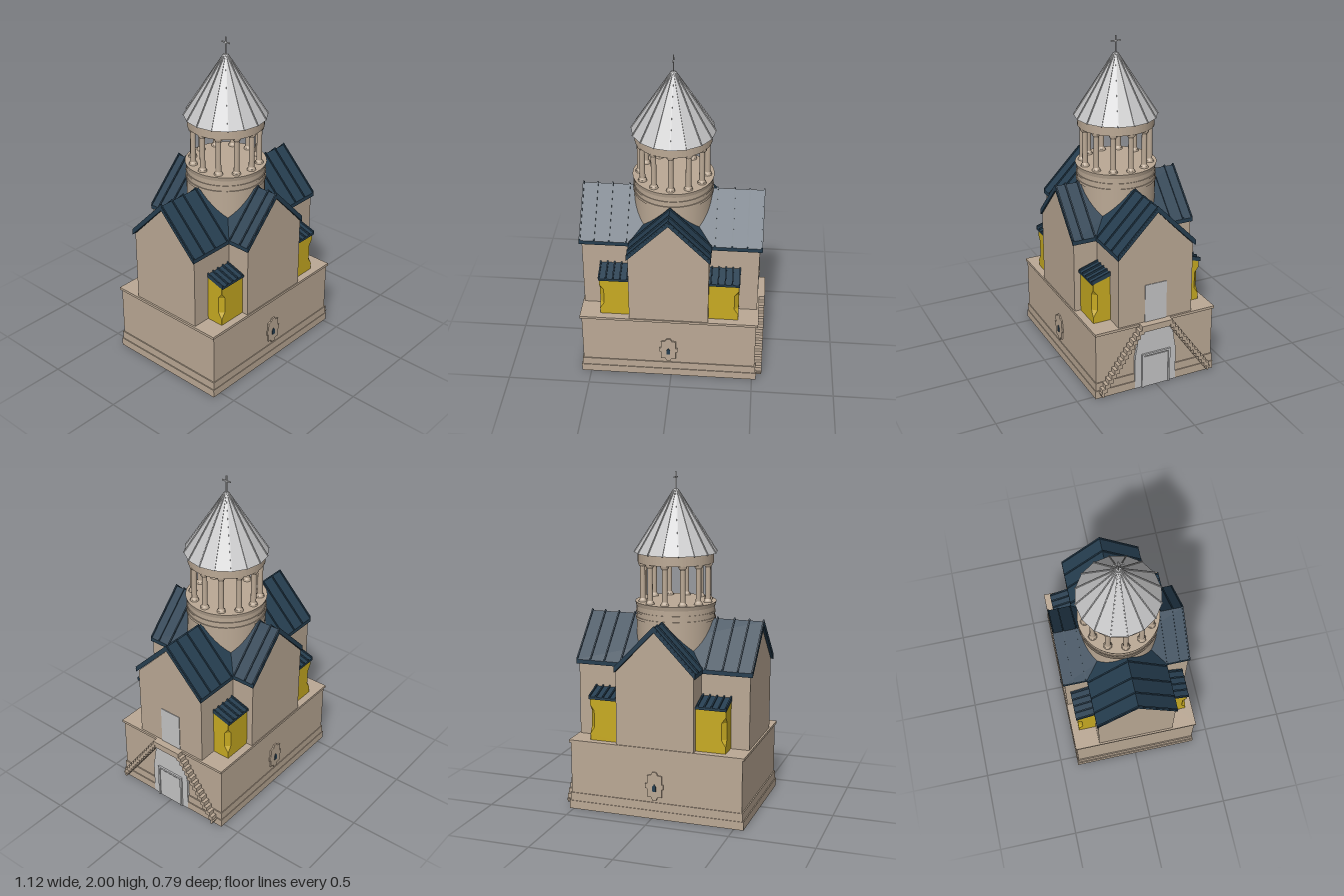
import * as THREE from 'three';

const mat = (name, color, opts = {}) => {
  const m = new THREE.MeshStandardMaterial({ color, ...opts });
  m.name = name;
  return m;
};

export function createModel() {
  const stone = mat('stone', 0xbba995);
  const roofBlue = mat('roofBlue', 0x263e50);
  const yellow = mat('yellow', 0xc8ab22);
  const metal = mat('metal', 0xc4c4c5, { side: THREE.DoubleSide });

  const root = new THREE.Group();
  root.name = 'church';
  const body = new THREE.Group();
  body.name = 'building';
  body.position.x = -0.016;
  root.add(body);

  const add = (name, geo, material, x = 0, y = 0, z = 0) => {
    const m = new THREE.Mesh(geo, material);
    m.name = name;
    m.position.set(x, y, z);
    body.add(m);
    return m;
  };
  const box = (name, material, w, h, d, x, y, z) =>
    add(name, new THREE.BoxGeometry(w, h, d), material, x, y, z);
  const shape = (pts) => new THREE.Shape(pts.map((p) => new THREE.Vector2(p[0], p[1])));
  const extrude = (pts, depth) =>
    new THREE.ExtrudeGeometry(shape(pts), { depth, bevelEnabled: false });
  // Profile in (x, y), running from z0 to z1
  const alongZ = (pts, z0, z1) => extrude(pts, z1 - z0).translate(0, 0, z0);
  // Profile in (z, y), running from x0 to x1
  const alongX = (pts, x0, x1) => extrude(pts, x1 - x0).rotateY(-Math.PI / 2).translate(x1, 0, 0);
  const rect = (a, b) => [[-a, -b], [a, -b], [a, b], [-a, b]];
  const disc = (name, r0, r1, y0, y1, sides = 48, x = 0, z = 0, material = stone) =>
    add(name, new THREE.CylinderGeometry(r1, r0, y1 - y0, sides), material, x, (y0 + y1) / 2, z);

  // Hollow base, open below, with stepped plinth and top ledge
  const ring = (name, a, b, t, y0, y1) => {
    const s = shape(rect(a, b));
    s.holes.push(new THREE.Path(rect(a - t, b - t).map((p) => new THREE.Vector2(p[0], p[1]))));
    const g = new THREE.ExtrudeGeometry(s, { depth: y1 - y0, bevelEnabled: false });
    add(name, g.rotateX(-Math.PI / 2), stone, 0, y0, 0);
  };
  ring('baseWalls', 0.529, 0.384, 0.008, 0, 0.42);
  ring('plinthLower', 0.542, 0.393, 0.018, 0, 0.05);
  ring('plinthUpper', 0.536, 0.389, 0.012, 0.05, 0.1);
  box('baseTop', stone, 1.08, 0.016, 0.782, 0, 0.422, 0);

  // Cross-shaped body with gables
  const gable = [[-0.238, 0.43], [0.238, 0.43], [0.238, 0.87], [0, 1.118], [-0.238, 0.87]];
  add('longArmWalls', alongX(gable, -0.529, 0.529), stone);
  add('crossArmWalls', alongZ(gable, -0.385, 0.385), stone);

  // Folded roofs with raised seams
  const fold = (lift) => [
    [-0.247, 0.865], [-0.247, 0.89 + lift], [0, 1.145 + lift],
    [0.247, 0.89 + lift], [0.247, 0.865], [0, 1.118],
  ];
  add('longRoof', alongX(fold(0), -0.545, 0.545), roofBlue);
  add('crossRoof', alongZ(fold(0), -0.394, 0.394), roofBlue);
  for (const s of [-1, 1]) {
    for (const p of [0.262, 0.365, 0.455, 0.54])
      add('longRoofSeam', alongX(fold(0.011), s * p - 0.004, s * p + 0.004), roofBlue);
    for (const p of [0.252, 0.33, 0.389])
      add('crossRoofSeam', alongZ(fold(0.011), s * p - 0.004, s * p + 0.004), roofBlue);
  }

  // Corner annexes whose outer corner is cut back in the middle
  const annex = (sx, sz) => {
    const [x0, x1, z0, z1] = [0.23, 0.418, 0.23, 0.346];
    const bottom = sx < 0 && sz > 0 ? 0.37 : 0.43;
    const rings = [[bottom, 0.001], [0.47, 0.001], [0.51, 0.026], [0.61, 0.026], [0.645, 0.001], [null, 0.001]];
    const pos = [], idx = [];
    for (const [y, c] of rings)
      for (const [x, z] of [[x0, z0], [x0, z1], [x1 - c, z1], [x1, z1 - c], [x1, z0]])
        pos.push(sx * x, y ?? 0.735 - (z - z0) * 0.39, sz * z);
    const tri = (a, b, c) => idx.push(...(sx * sz > 0 ? [a, b, c] : [a, c, b]));
    for (let r = 0; r < rings.length - 1; r++)
      for (let i = 0; i < 5; i++) {
        const a = r * 5 + i, b = r * 5 + ((i + 1) % 5);
        tri(a, b, b + 5);
        tri(a, b + 5, a + 5);
      }
    for (let i = 1; i < 4; i++) tri(0, i + 1, i);
    let g = new THREE.BufferGeometry();
    g.setAttribute('position', new THREE.Float32BufferAttribute(pos, 3));
    g.setIndex(idx);
    g = g.toNonIndexed();
    g.computeVertexNormals();
    add('annex', g, yellow);

    // Lean-to roof with seams
    const slope = (lift) => [[0.23, 0.72], [0.356, 0.672 + 0.01], [0.356, 0.697 + lift], [0.23, 0.738 + lift]]
      .map(([z, y]) => [sz * z, y]);
    const span = (a, b) => (sx > 0 ? [a, b] : [-b, -a]);
    add('annexRoof', alongX(slope(0), ...span(0.236, 0.422)), roofBlue);
    for (let i = 0; i < 5; i++) {
      const x = 0.25 + i * 0.042;
      add('annexRoofSeam', alongX(slope(0.01), ...span(x - 0.004, x + 0.004)), roofBlue);
    }
  };
  for (const sx of [-1, 1]) for (const sz of [-1, 1]) annex(sx, sz);

  // Drum
  disc('drum', 0.234, 0.234, 0.88, 1.22);
  disc('drumLowerBand', 0.239, 0.239, 1.135, 1.15);
  disc('drumMiddleBand', 0.238, 0.238, 1.175, 1.185);
  disc('drumTopBand', 0.236, 0.242, 1.215, 1.24);

  // Open colonnade
  for (let i = 0; i < 12; i++) {
    const a = (i / 12) * Math.PI * 2, x = 0.2 * Math.sin(a), z = 0.2 * Math.cos(a);
    disc('columnBase', 0.027, 0.024, 1.238, 1.25, 12, x, z);
    disc('columnFoot', 0.023, 0.016, 1.25, 1.262, 12, x, z);
    disc('columnShaft', 0.0165, 0.0155, 1.25, 1.455, 12, x, z);
    disc('columnNeck', 0.0155, 0.023, 1.448, 1.46, 12, x, z);
    disc('columnCapital', 0.025, 0.027, 1.46, 1.474, 12, x, z);
  }
  const lintel = new THREE.Shape().absarc(0, 0, 0.226, 0, Math.PI * 2);
  lintel.holes.push(new THREE.Path().absarc(0, 0, 0.18, 0, Math.PI * 2, true));
  add('lintelRing', new THREE.ExtrudeGeometry(lintel, { depth: 0.063, bevelEnabled: false, curveSegments: 32 })
    .rotateX(-Math.PI / 2), stone, 0, 1.472, 0);

  // Faceted spire with ribs, knob and cross
  const spire = new THREE.CylinderGeometry(0.012, 0.246, 0.365, 16, 1, true).toNonIndexed();
  spire.computeVertexNormals();
  add('spire', spire, metal, 0, 1.7125, 0);
  const tilt = Math.atan2(0.234, 0.365), ribLength = Math.hypot(0.234, 0.365);
  for (let i = 0; i < 16; i++) {
    const g = new THREE.BoxGeometry(0.006, ribLength, 0.01);
    g.rotateX(-tilt).translate(0, 1.7125, 0.129).rotateY((i / 16) * Math.PI * 2);
    add('spireRib', g, metal);
  }
  disc('spireCollar', 0.027, 0.012, 1.872, 1.9, 16, 0, 0, metal);
  box('crossPost', metal, 0.007, 0.11, 0.007, 0, 1.945, 0);
  box('crossBar', metal, 0.007, 0.007, 0.06, 0, 1.968, 0);

  // Framed slit windows on front and back of the base
  const frame = [
    [-0.045, 0.135], [-0.02, 0.135], [-0.012, 0.115], [0.012, 0.115], [0.02, 0.135], [0.045, 0.135],
    [0.045, 0.265], [0.02, 0.27], [0.012, 0.287], [-0.012, 0.287], [-0.02, 0.27], [-0.045, 0.265],
  ];
  const slit = [[-0.011, 0.17], [0.011, 0.17], [0.011, 0.2], [0, 0.215], [-0.011, 0.2]];
  for (const s of [-1, 1]) {
    const plate = (pts, a, b) => alongZ(pts, Math.min(s * a, s * b), Math.max(s * a, s * b));
    add('windowFrame', plate(frame, 0.38, 0.393), stone);
    add('windowSlit', plate(slit, 0.39, 0.397), roofBlue);
    for (const x of [-0.05, 0.05]) box('windowFrameBoss', stone, 0.012, 0.03, 0.012, x, 0.2, s * 0.387);
  }

  // Portal and doors on the stair side
  const portal = [[0.137, 0], [0.137, 0.215], [0.125, 0.28], [0.11, 0.375], [-0.105, 0.375], [-0.12, 0.28], [-0.132, 0.215], [-0.132, 0]];
  add('portal', alongX(portal, 0.52, 0.544), metal);
  box('lowerDoor', metal, 0.008, 0.205, 0.16, 0.545, 0.103, 0.002);
  for (const z of [-0.085, 0.089]) box('doorJamb', metal, 0.014, 0.22, 0.012, 0.548, 0.11, z);
  box('doorLintel', metal, 0.014, 0.012, 0.186, 0.548, 0.22, 0.002);
  box('upperDoor', metal, 0.008, 0.24, 0.14, 0.529, 0.55, 0);

  // Twin stair flights meeting at a landing
  const steps = 14, rise = 0.385 / steps, run = 0.275 / steps;
  for (const s of [-1, 1]) {
    const top = [];
    for (let i = 0; i <= steps; i++) {
      const z = 0.08 + i * run, y = 0.43 - i * rise;
      top.push([z, y], [z + run * (i < steps ? 1 : 0.5), y]);
    }
    const under = top.map(([z, y]) => [z - 0.012, y - 0.026]).reverse();
    const flight = [...top, ...under].map(([z, y]) => [0.008 + s * z, y]);
    add('stairFlight', alongX(flight, 0.525, 0.575), stone);
  }
  box('stairLanding', stone, 0.05, 0.04, 0.17, 0.55, 0.41, 0.008);

  return root;
}
